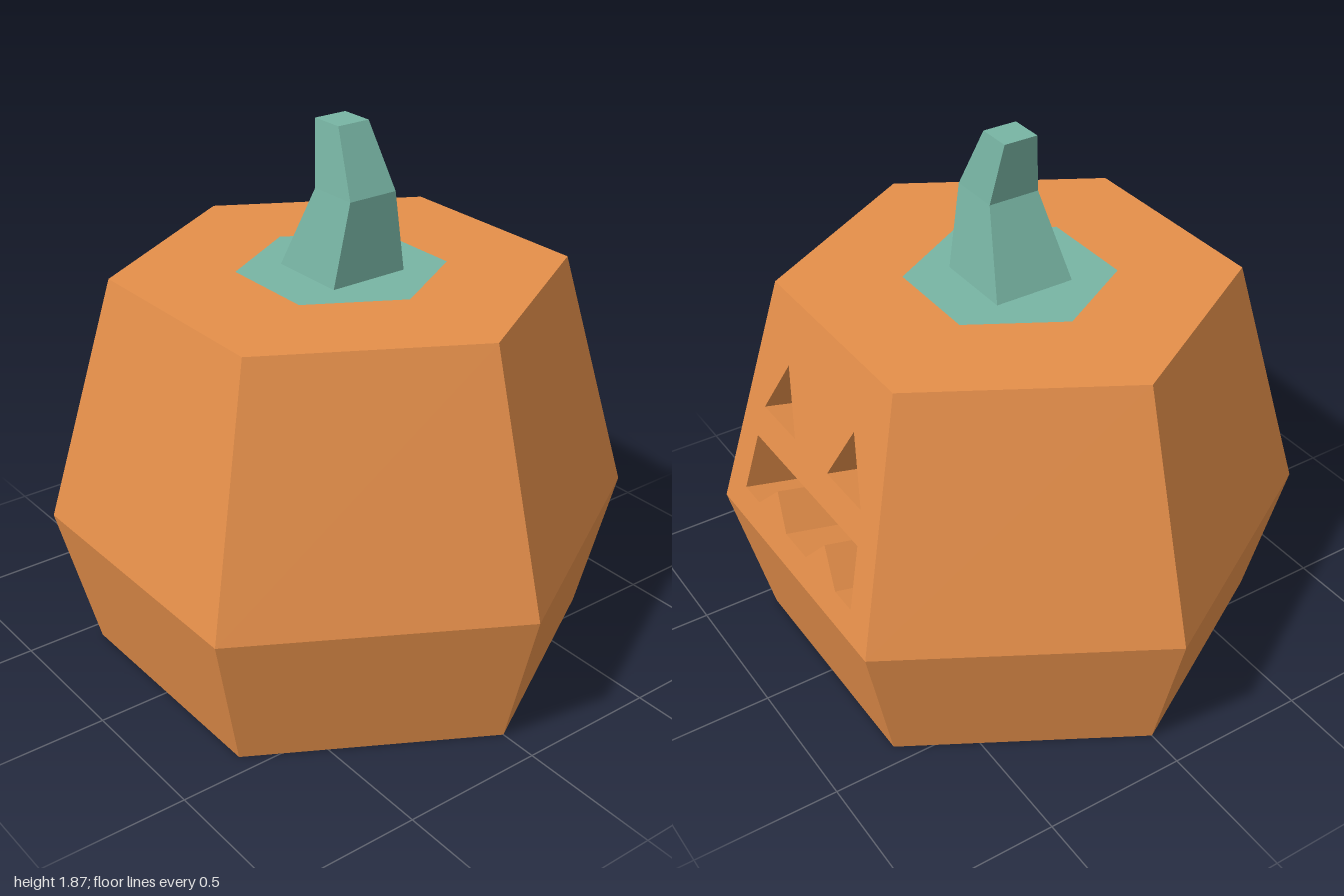
import * as THREE from 'three';

const BASE_R = 0.865, BELLY_R = 1, TOP_R = 0.76;
const BELLY_Y = 0.505, TOP_Y = 1.367;
const CARVE_DEPTH = 0.25;

const paint = (color) => new THREE.MeshStandardMaterial({ color, flatShading: true, side: THREE.DoubleSide });

function addMesh(parent, name, geometry, material) {
  const mesh = new THREE.Mesh(geometry, material);
  mesh.name = name;
  parent.add(mesh);
  return mesh;
}

// Side walls of a carved opening, running inwards from its outline
function carvedWalls(outline, depth) {
  const pos = [];
  outline.forEach((a, i) => {
    const b = outline[(i + 1) % outline.length];
    pos.push(a.x, a.y, 0, b.x, b.y, 0, b.x, b.y, -depth);
    pos.push(a.x, a.y, 0, b.x, b.y, -depth, a.x, a.y, -depth);
  });
  const g = new THREE.BufferGeometry();
  g.setAttribute('position', new THREE.Float32BufferAttribute(pos, 3));
  g.computeVertexNormals();
  return g;
}

export function createModel() {
  const model = new THREE.Group();
  model.name = 'carvedPumpkin';
  const orange = paint(0xe58f4a), green = paint(0x78b5a4), yellow = paint(0xe2b045);

  // Six-sided body; the upper band leaves out the back panel
  const lower = new THREE.CylinderGeometry(BELLY_R, BASE_R, BELLY_Y, 6, 1, true, Math.PI / 2);
  addMesh(model, 'lowerBody', lower, orange).position.y = BELLY_Y / 2;
  const upperH = TOP_Y - BELLY_Y;
  const upper = new THREE.CylinderGeometry(TOP_R, BELLY_R, upperH, 5, 1, true, Math.PI * 7 / 6, Math.PI * 5 / 3);
  addMesh(model, 'upperBody', upper, orange).position.y = BELLY_Y + upperH / 2;

  // Flat hexagons: base, top and the green patch around the stem
  const hexagon = (name, r, y, mat, facing) => {
    const m = addMesh(model, name, new THREE.CircleGeometry(r, 6), mat);
    m.rotation.x = -facing * Math.PI / 2;
    m.position.y = y;
  };
  hexagon('base', BASE_R, 0, orange, -1);
  hexagon('top', TOP_R, TOP_Y, orange, 1);
  hexagon('stemPatch', 0.35, TOP_Y + 0.003, green, 1);

  // Carved panel: local x across, y up the slope, z outwards
  const apothem = Math.sqrt(3) / 2;
  const tilt = Math.atan2((BELLY_R - TOP_R) * apothem, upperH);
  const face = new THREE.Group();
  face.name = 'carvedFace';
  face.position.set(0, BELLY_Y, -BELLY_R * apothem);
  face.rotation.set(-tilt, Math.PI, 0, 'YXZ');
  model.add(face);

  const onPanel = (pts) => pts.map(([x, y]) => new THREE.Vector2(x, (y - BELLY_Y) / Math.cos(tilt)));
  const mouthHalf = [[0.07, 0.61], [0.165, 0.715], [0.27, 0.61], [0.372, 0.61], [0.345, 0.826]];
  const mirror = (pts) => pts.map(([x, y]) => [-x, y]).reverse();
  const eye = [[0.11, 0.943], [0.327, 0.943], [0.217, 1.15]];
  const openings = {
    mouth: onPanel([...mouthHalf, ...mirror(mouthHalf)]),
    rightEye: onPanel(eye),
    leftEye: onPanel(mirror(eye)),
  };

  const panel = new THREE.Shape(onPanel([
    [-BELLY_R / 2, BELLY_Y], [BELLY_R / 2, BELLY_Y], [TOP_R / 2, TOP_Y], [-TOP_R / 2, TOP_Y],
  ]));
  for (const [name, outline] of Object.entries(openings)) {
    panel.holes.push(new THREE.Path(outline));
    addMesh(face, name + 'Walls', carvedWalls(outline, CARVE_DEPTH), orange);
    const glow = addMesh(face, name + 'Glow', new THREE.ShapeGeometry(new THREE.Shape(outline)), yellow);
    glow.position.z = -CARVE_DEPTH;
  }
  addMesh(face, 'facePanel', new THREE.ShapeGeometry(panel), orange);

  // Bent, tapering square stem: [y, centre x, half width]
  const sections = [[TOP_Y, 0, 0.144], [1.655, 0.07, 0.091], [1.87, 0, 0.06]];
  const stem = new THREE.BoxGeometry(2, 2, 2, 1, 2, 1);
  const p = stem.attributes.position;
  for (let i = 0; i < p.count; i++) {
    const [y, cx, half] = sections[Math.round(p.getY(i)) + 1];
    p.setXYZ(i, cx + p.getX(i) * half, y, p.getZ(i) * half);
  }
  stem.computeVertexNormals();
  addMesh(model, 'stem', stem, green);

  return model;
}
